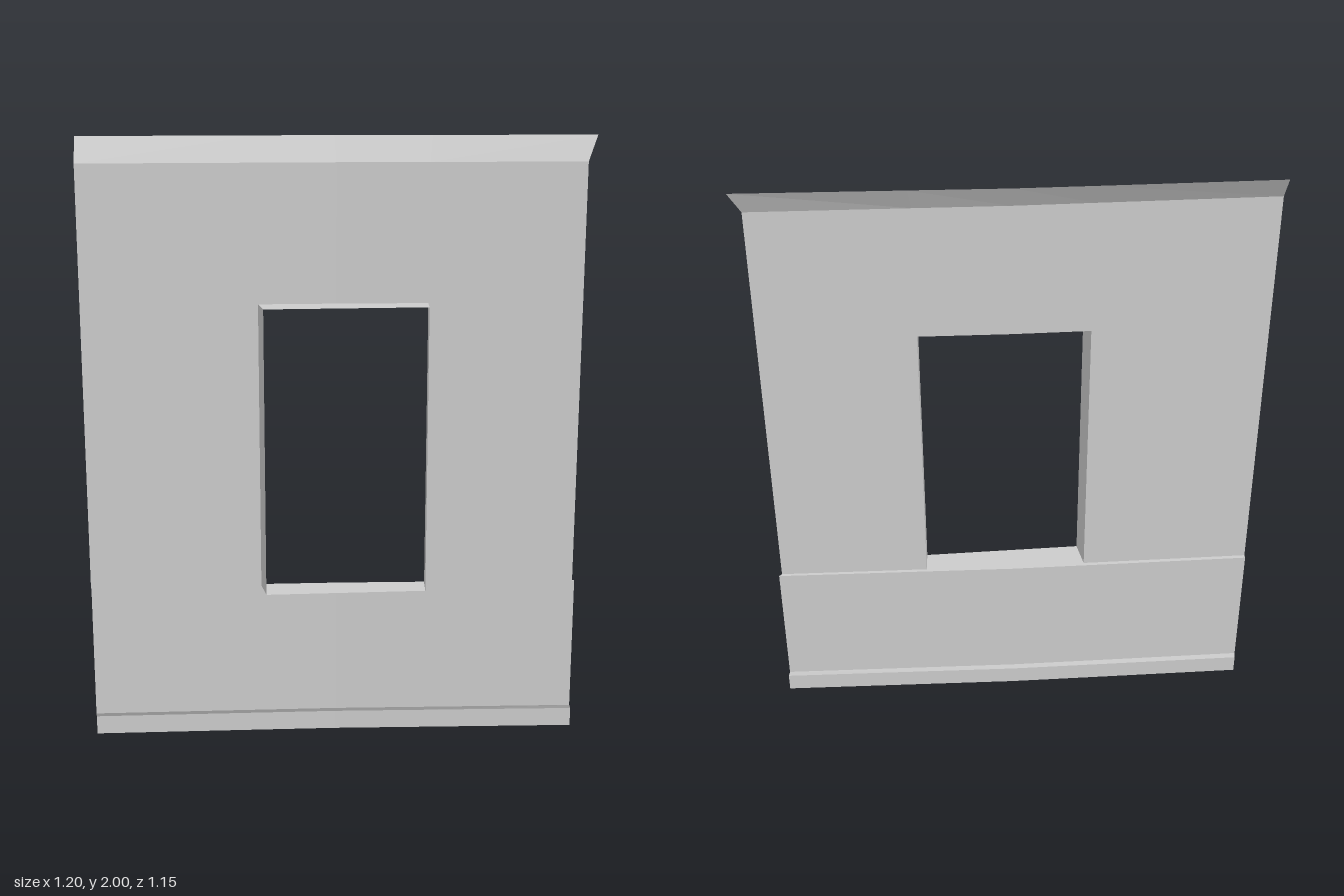
import * as THREE from 'three';

const material = new THREE.MeshStandardMaterial({ color: 0xcccccc, flatShading: true, side: THREE.DoubleSide });

// Plan of the wall face, left to right: [x, z] and the [x, z] shift of a full lean backwards
const plan = [
  { p: [-0.565, 0.575], s: [-0.035, -0.036] },  // left end
  { p: [-0.16, 0.184], s: [-0.035, -0.033] },   // left jamb
  { p: [0.02, 0.01], s: [-0.035, -0.03] },      // slight bend
  { p: [0.235, -0.188], s: [-0.022, -0.038] },  // right jamb
  { p: [0.6, -0.525], s: [0, -0.05] },          // right end
];
const SILL = 0.53, HEAD = 1.475;

// Point on the wall: column, height, amount of lean (0 = face, 1 = top edge)
function at(col, y, lean) {
  const { p, s } = plan[col];
  return [p[0] + s[0] * lean, y, p[1] + s[1] * lean];
}

// Mesh from four-cornered faces
function quads(name, faces) {
  const pos = [];
  for (const [a, b, c, d] of faces) pos.push(...a, ...b, ...c, ...a, ...c, ...d);
  const geometry = new THREE.BufferGeometry();
  geometry.setAttribute('position', new THREE.Float32BufferAttribute(pos, 3));
  geometry.computeVertexNormals();
  const mesh = new THREE.Mesh(geometry, material);
  mesh.name = name;
  return mesh;
}

// Band of wall between two levels [y, lean] over a list of columns
function band(name, low, high, cols = [0, 1, 2, 3]) {
  return quads(name, cols.map((c) => [at(c, ...low), at(c + 1, ...low), at(c + 1, ...high), at(c, ...high)]));
}

export function createModel() {
  const group = new THREE.Group();
  group.name = 'windowWall';

  // Plinth, its chamfer, lower panel and the ledge under the upper wall
  group.add(band('plinth', [0, 0.42], [0.063, 0.42]));
  group.add(band('plinthChamfer', [0.063, 0.42], [0.077, 0.27]));
  group.add(band('lowerPanel', [0.077, 0.27], [SILL, 0.27]));
  group.add(band('ledge', [SILL, 0.27], [SILL, 0]));

  // Upper wall around the opening, and the sloping top
  group.add(band('wallSides', [SILL, 0], [HEAD, 0], [0, 3]));
  group.add(band('wallTop', [HEAD, 0], [1.92, 0]));
  group.add(band('slopingTop', [1.92, 0], [2, 1]));

  // Window reveal standing forward of the wall
  const front = { 1: [-0.085, 0.24], 2: [0.1, 0.055], 3: [0.285, -0.13] };
  const out = (c, y) => [front[c][0], y, front[c][1]];
  const level = (y) => [1, 2].map((c) => [out(c, y), out(c + 1, y), at(c + 1, y, 0), at(c, y, 0)]);
  const jamb = (c) => [[at(c, SILL, 0), out(c, SILL), out(c, HEAD), at(c, HEAD, 0)]];
  group.add(quads('windowSill', level(SILL)));
  group.add(quads('windowHead', level(HEAD)));
  group.add(quads('rightJamb', jamb(1)));
  group.add(quads('leftJamb', jamb(3)));

  return group;
}
